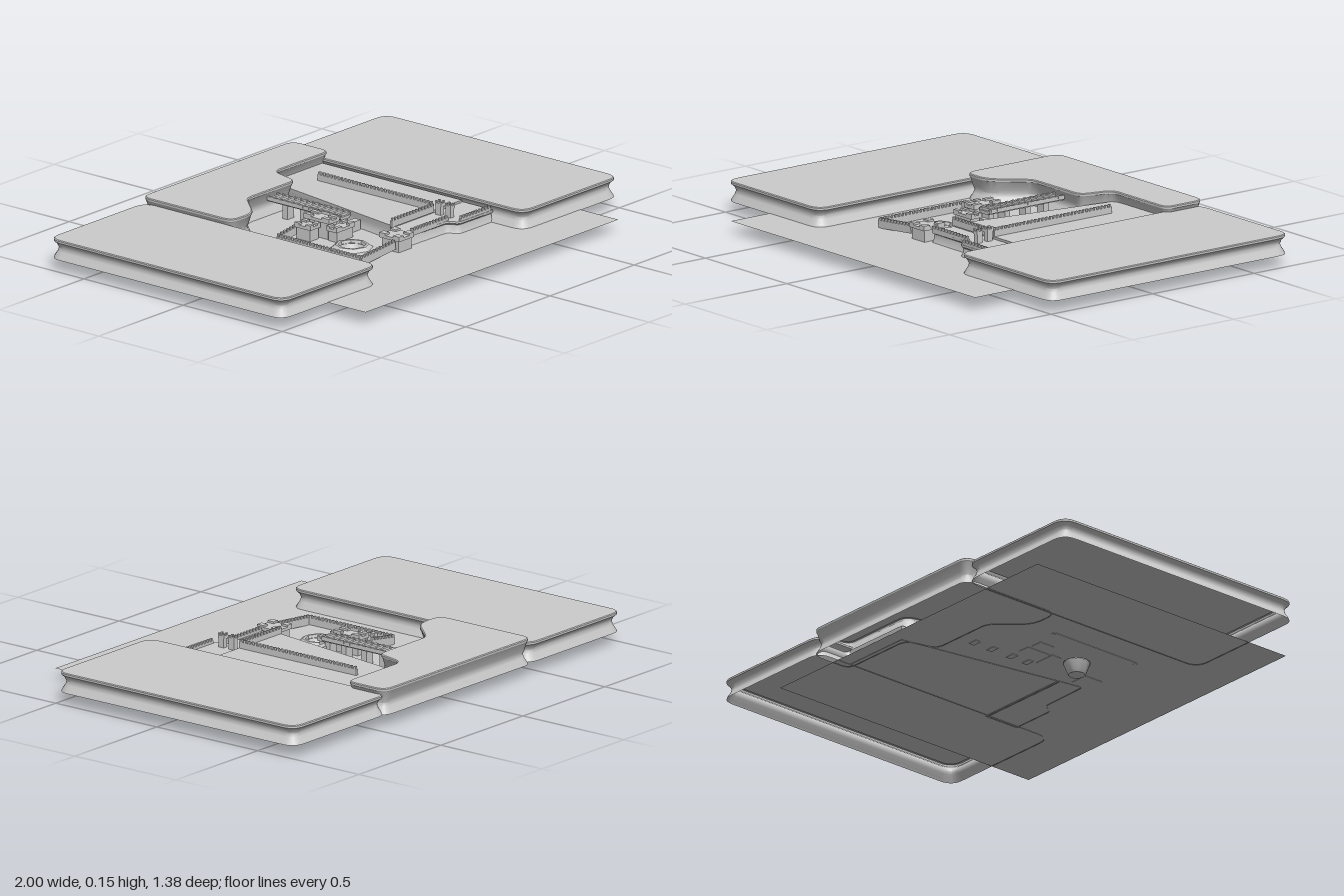
import * as THREE from 'three';
import { toCreasedNormals, mergeGeometries } from 'three/addons/utils/BufferGeometryUtils.js';

const grey = new THREE.MeshStandardMaterial({ color: 0xcccccc, side: THREE.DoubleSide });

function add(parent, name, geometry, x = 0, y = 0, z = 0) {
  const mesh = new THREE.Mesh(geometry, grey);
  mesh.name = name;
  mesh.position.set(x, y, z);
  parent.add(mesh);
  return mesh;
}

// Outline from [x, z, cornerRadius] corners, in shape space (y = -z), anticlockwise.
function roundedOutline(corners) {
  const pts = [];
  const n = corners.length;
  corners.forEach(([x, z, r = 0], i) => {
    const p = new THREE.Vector2(x, -z);
    if (!r) return pts.push(p);
    const [a, b] = [corners[(i + n - 1) % n], corners[(i + 1) % n]].map(([cx, cz]) =>
      new THREE.Vector2(cx, -cz).sub(p).setLength(r).add(p));
    pts.push(...new THREE.QuadraticBezierCurve(a, p, b).getPoints(6));
  });
  return THREE.ShapeUtils.isClockWise(pts) ? pts.reverse() : pts;
}

// Walls following a profile of [inset, y] around an outline, with a flat top and open underside.
function slab(parent, name, corners, profile) {
  const outline = roundedOutline(corners);
  const n = outline.length;
  const normals = outline.map((p, i) => {
    const e1 = p.clone().sub(outline[(i + n - 1) % n]).normalize();
    const e2 = outline[(i + 1) % n].clone().sub(p).normalize();
    const t = e1.add(e2).normalize();
    return new THREE.Vector2(-t.y, t.x);
  });
  const ring = (inset) => outline.map((p, i) => p.clone().addScaledVector(normals[i], inset));
  const pos = [], index = [];
  profile.forEach(([inset, y], k) => {
    ring(inset).forEach((p, i) => {
      pos.push(p.x, y, -p.y);
      if (k === 0) return;
      const j = (i + 1) % n, lo = (k - 1) * n, hi = k * n;
      index.push(lo + i, lo + j, hi + j, lo + i, hi + j, hi + i);
    });
  });
  const wall = new THREE.BufferGeometry();
  wall.setAttribute('position', new THREE.Float32BufferAttribute(pos, 3));
  wall.setIndex(index);
  const [topInset, topY] = profile[profile.length - 1];
  const group = new THREE.Group();
  group.name = name;
  add(group, name + 'Side', toCreasedNormals(wall, 0.7));
  const cap = new THREE.ShapeGeometry(new THREE.Shape(ring(topInset)));
  add(group, name + 'Top', cap.rotateX(-Math.PI / 2), 0, topY, 0);
  parent.add(group);
}

// Battlemented wall between two [x, baseY, z] points.
function battlement(parent, name, from, to, height = 0.03) {
  const a = new THREE.Vector3(...from), b = new THREE.Vector3(...to);
  const length = a.distanceTo(b), pitch = 0.018, thick = 0.01;
  const parts = [new THREE.BoxGeometry(length, height, thick).translate(0, height / 2, 0)];
  const count = Math.max(2, Math.round(length / pitch));
  for (let i = 0; i < count; i++) {
    const x = -length / 2 + (i + 0.5) * length / count;
    parts.push(new THREE.BoxGeometry(pitch * 0.5, 0.01, thick).translate(x, height + 0.005, 0));
  }
  const wall = add(parent, name, mergeGeometries(parts), (a.x + b.x) / 2, (a.y + b.y) / 2, (a.z + b.z) / 2);
  wall.quaternion.setFromUnitVectors(new THREE.Vector3(1, 0, 0), b.clone().sub(a).normalize());
}

// Square tower with a wider crown and four merlons.
function tower(parent, x, z, y, w, d, h) {
  const parts = [
    new THREE.BoxGeometry(w * 0.85, h, d * 0.85).translate(0, h / 2, 0),
    new THREE.BoxGeometry(w, 0.012, d).translate(0, h - 0.006, 0),
  ];
  for (const sx of [-1, 1]) for (const sz of [-1, 1]) {
    parts.push(new THREE.BoxGeometry(w * 0.3, 0.008, d * 0.3).translate(sx * w * 0.35, h + 0.004, sz * d * 0.35));
  }
  add(parent, 'tower', mergeGeometries(parts), x, y, z);
}

export function createModel() {
  const model = new THREE.Group();
  model.name = 'fortressTerrain';

  // Ground sheet with a round opening for the pit
  const ground = new THREE.Shape(roundedOutline([[-0.73, -0.58], [-0.73, 0.69], [0.77, 0.69], [0.77, -0.58]]));
  const opening = new THREE.Path().absarc(-0.15, -0.13, 0.052, 0, Math.PI * 2, true);
  ground.holes.push(opening);
  add(model, 'ground', new THREE.ShapeGeometry(ground, 24).rotateX(-Math.PI / 2), 0, 0.052, 0);

  // Funnel pit below ground, with a low raised rim
  const pit = [[0, 0.002], [0.032, 0.002], [0.038, 0.012], [0.052, 0.05]].map((p) => new THREE.Vector2(...p));
  add(model, 'pit', toCreasedNormals(new THREE.LatheGeometry(pit, 24), 0.6), -0.15, 0, 0.13);
  const rim = [[0.052, 0.052], [0.055, 0.064], [0.065, 0.064], [0.082, 0.052]].map((p) => new THREE.Vector2(...p));
  add(model, 'pitRim', toCreasedNormals(new THREE.LatheGeometry(rim, 8), 0.3), -0.15, 0, 0.13);

  // Side mesas with waisted cliffs
  const cliff = (top) => [[0, 0.05], [0.004, 0.06], [0.016, 0.078], [0.02, 0.092], [0.013, 0.108],
    [0.003, top - 0.014], [0, top - 0.011], [0, top - 0.003], [0.004, top]];
  for (const [name, x0, x1] of [['rightMesa', -1, -0.43], ['leftMesa', 0.43, 1]]) {
    const r = 0.06;
    slab(model, name, [[x0, -0.68, r], [x0, 0.5, r], [x1, 0.5, r], [x1, -0.68, r]], cliff(0.13));
  }

  // Back mesa with a stepped front edge
  slab(model, 'backMesa', [
    [-0.44, -0.69, 0.05], [-0.44, -0.23, 0.05], [-0.31, -0.23, 0.05], [-0.19, -0.365, 0.03],
    [0.1, -0.365, 0.04], [0.13, -0.5, 0.04], [0.46, -0.5, 0.04], [0.46, -0.69, 0.05],
  ], cliff(0.155));

  // Citadel plateau and its lower front terrace
  const bank = (top) => [[0, 0.05], [0.006, 0.065], [0.008, 0.085], [0, top - 0.008], [0, top]];
  slab(model, 'plateau', [[0.13, -0.52], [0.015, 0.19], [0.26, 0.19], [0.43, 0.19], [0.43, -0.52]], bank(0.11));
  slab(model, 'terrace', [[0.015, 0.18], [0, 0.29, 0.015], [0.22, 0.295, 0.015], [0.24, 0.34, 0.02],
    [0.44, 0.34], [0.44, 0.18]], bank(0.1));

  // Citadel walls
  battlement(model, 'citadelLongWall', [0.26, 0.105, -0.39], [0.26, 0.105, 0.19]);
  battlement(model, 'citadelFrontWall', [0.01, 0.105, 0.19], [0.26, 0.105, 0.19], 0.025);
  battlement(model, 'terraceWall', [0.01, 0.09, 0.288], [0.23, 0.09, 0.288], 0.02);
  battlement(model, 'terraceOuterWall', [0.25, 0.09, 0.333], [0.43, 0.09, 0.333], 0.02);
  for (const z of [0.22, 0.27]) tower(model, 0.265, z, 0.09, 0.025, 0.03, 0.058);

  // Lower court walls, climbing toward the citadel
  battlement(model, 'courtSideWall', [-0.3, 0.05, -0.11], [-0.3, 0.05, 0.3]);
  battlement(model, 'courtBackWall', [-0.3, 0.05, -0.115], [-0.16, 0.07, -0.115]);
  battlement(model, 'courtFrontWall', [-0.3, 0.05, 0.303], [-0.1, 0.068, 0.303]);

  // Gatehouses of the lower court
  tower(model, -0.05, 0.27, 0.05, 0.09, 0.1, 0.06);
  tower(model, -0.18, -0.07, 0.05, 0.06, 0.08, 0.06);
  tower(model, -0.115, -0.055, 0.05, 0.06, 0.13, 0.078);
  tower(model, -0.1, 0.03, 0.05, 0.11, 0.05, 0.055);

  // Bridge from the back mesa: deck, rails, cross ribs and piers
  const bridge = new THREE.Group();
  bridge.name = 'bridge';
  bridge.position.set(-0.035, 0, 0);
  add(bridge, 'bridgeDeck', new THREE.BoxGeometry(0.05, 0.012, 0.37), 0, 0.115, -0.185);
  for (const s of [-1, 1]) add(bridge, 'bridgeRail', new THREE.BoxGeometry(0.008, 0.016, 0.37), s * 0.028, 0.122, -0.185);
  for (let i = 0; i < 12; i++) {
    add(bridge, 'bridgeRib', new THREE.BoxGeometry(0.066, 0.012, 0.012), 0, 0.126, -0.345 + i * 0.03);
  }
  for (const z of [-0.29, -0.2, -0.1, -0.02]) {
    add(bridge, 'bridgePier', new THREE.BoxGeometry(0.04, 0.065, 0.025), 0, 0.082, z);
  }
  add(bridge, 'bridgeLanding', new THREE.BoxGeometry(0.08, 0.04, 0.03), 0.03, 0.072, 0);
  model.add(bridge);

  return model;
}
